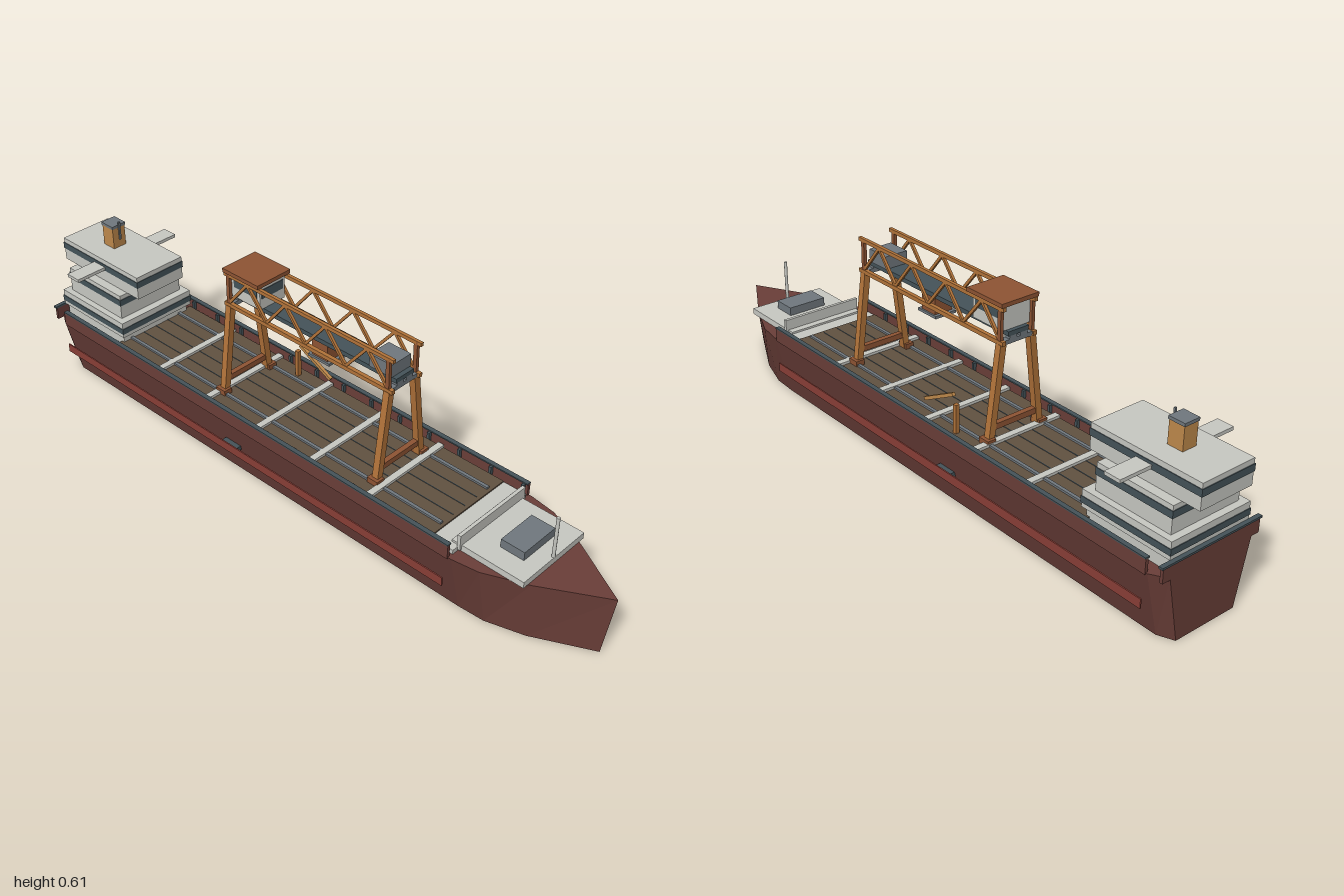
import * as THREE from 'three';

const mat = (name, color) => {
  const m = new THREE.MeshStandardMaterial({ color });
  m.name = name;
  return m;
};

export function createModel() {
  const ship = new THREE.Group();
  ship.name = 'cargoShip';
  const hullRed = mat('hullRed', 0x6b3f39);
  const stripeRed = mat('stripeRed', 0x8a3f37);
  const white = mat('paintWhite', 0xc9cac4);
  const slate = mat('darkSlate', 0x45545a);
  const grey = mat('steelGrey', 0x71797f);
  const orange = mat('craneOrange', 0xb3743a);
  const rust = mat('rustBrown', 0x8f5534);
  const hatch = mat('hatchBrown', 0x625241);
  const tan = mat('funnelTan', 0xc08a4c);

  const add = (parent, name, geo, material) => {
    const m = new THREE.Mesh(geo, material);
    m.name = name;
    parent.add(m);
    return m;
  };
  // box given by its extents on each axis
  const box = (parent, name, material, x0, x1, y0, y1, z0, z1) => {
    const m = add(parent, name, new THREE.BoxGeometry(x1 - x0, y1 - y0, z1 - z0), material);
    m.position.set((x0 + x1) / 2, (y0 + y1) / 2, (z0 + z1) / 2);
    return m;
  };
  // square beam between two points
  const beam = (parent, name, material, a, b, w, d = w) => {
    const p = new THREE.Vector3(...a), q = new THREE.Vector3(...b);
    const dir = q.clone().sub(p);
    const m = add(parent, name, new THREE.BoxGeometry(w, dir.length(), d), material);
    m.position.copy(p).add(q).multiplyScalar(0.5);
    m.quaternion.setFromUnitVectors(new THREE.Vector3(0, 1, 0), dir.normalize());
    return m;
  };
  const group = (name) => {
    const g = new THREE.Group();
    g.name = name;
    ship.add(g);
    return g;
  };

  // Hull: cross-sections as [top x, bottom x, top half width, bottom half width]
  const stations = [
    [-0.975, -0.975, 0.14, 0.1], [-0.93, -0.93, 0.167, 0.12], [0.62, 0.62, 0.167, 0.12],
    [0.7, 0.7, 0.155, 0.116], [0.82, 0.81, 0.103, 0.083], [1, 0.975, 0, 0],
  ];
  const deckY = 0.195;
  const rings = stations.map(([xt, xb, t, b]) => [[xt, deckY, t], [xb, 0, b], [xb, 0, -b], [xt, deckY, -t]]);
  const pos = [];
  const quad = (a, b, c, d) => pos.push(...a, ...b, ...c, ...a, ...c, ...d);
  for (let i = 0; i < rings.length - 1; i++) {
    for (let j = 0; j < 4; j++) {
      const k = (j + 1) % 4;
      quad(rings[i][k], rings[i + 1][k], rings[i + 1][j], rings[i][j]);
    }
  }
  const [sa, sb, sc, sd] = rings[0];
  quad(sa, sd, sc, sb);
  const hullGeo = new THREE.BufferGeometry();
  hullGeo.setAttribute('position', new THREE.Float32BufferAttribute(pos, 3));
  hullGeo.computeVertexNormals();
  add(ship, 'hull', hullGeo, hullRed);

  // Bulwarks, inner stays and rubbing strakes on both sides
  const sides = group('sideFittings');
  for (const s of [1, -1]) {
    const sideBox = (name, m, x0, x1, y0, y1, z0, z1) =>
      box(sides, name, m, x0, x1, y0, y1, Math.min(s * z0, s * z1), Math.max(s * z0, s * z1));
    sideBox('bulwark', hullRed, -0.925, 0.61, 0.19, 0.232, 0.16, 0.169);
    sideBox('bulwarkCap', slate, -0.925, 0.61, 0.232, 0.236, 0.156, 0.17);
    for (let i = 0; i <= 14; i++) {
      const x = -0.9 + i * 0.107;
      sideBox('bulwarkStay', slate, x - 0.004, x + 0.004, 0.19, 0.23, 0.15, 0.16);
    }
    sideBox('rubbingStrake', stripeRed, -0.92, 0.6, 0.093, 0.12, 0.167, 0.171);
    sideBox('strakeBracket', slate, -0.22, -0.16, 0.1, 0.114, 0.14, 0.168);
  }
  box(sides, 'sternBulwark', hullRed, -0.975, -0.966, 0.19, 0.23, -0.165, 0.165);
  box(sides, 'sternRail', slate, -0.977, -0.964, 0.23, 0.236, -0.17, 0.17);

  // Cargo hatches with cross coamings and seams
  const cargo = group('cargoDeck');
  box(cargo, 'hatchCovers', hatch, -0.7, 0.54, 0.19, 0.212, -0.148, 0.148);
  for (const x of [-0.5, -0.295, -0.09, 0.117, 0.325])
    box(cargo, 'hatchCoaming', white, x - 0.01, x + 0.01, 0.19, 0.22, -0.15, 0.15);
  for (const z of [-0.095, 0.095])
    box(cargo, 'craneRail', grey, -0.7, 0.53, 0.21, 0.218, z - 0.005, z + 0.005);
  for (const z of [-0.048, 0, 0.048])
    box(cargo, 'hatchSeam', slate, -0.7, 0.53, 0.21, 0.2135, z - 0.001, z + 0.001);

  // Forecastle
  const bow = group('forecastle');
  box(bow, 'bowPlatform', white, 0.525, 0.612, 0.19, 0.208, -0.15, 0.15);
  box(bow, 'forecastleDeck', white, 0.588, 0.812, 0.195, 0.214, -0.125, 0.125);
  box(bow, 'breakwater', white, 0.61, 0.62, 0.2, 0.247, -0.132, 0.132);
  box(bow, 'windlass', grey, 0.692, 0.765, 0.214, 0.24, -0.063, 0.063);
  const mast = add(bow, 'foremast', new THREE.CylinderGeometry(0.005, 0.005, 0.13, 8), white);
  mast.position.set(0.808, 0.275, 0);

  // Stepped deckhouse, each tier with a window band
  const house = group('deckhouse');
  box(house, 'houseBase', white, -0.96, -0.69, 0.19, 0.235, -0.125, 0.125);
  const tiers = [
    [-0.965, -0.68, 0.235, 0.285, 0.134, 0.248, 0.266],
    [-0.945, -0.705, 0.285, 0.363, 0.115, 0.329, 0.349],
    [-1, -0.65, 0.363, 0.436, 0.087, 0.401, 0.421],
  ];
  tiers.forEach(([x0, x1, y0, y1, z, w0, w1], i) => {
    const e = i === 2 ? 0 : 0.002;
    const inset = i === 2 ? 0.002 : 0;
    box(house, 'houseTier', white, x0 + inset, x1 - inset, y0, y1, -z, z);
    box(house, 'windowBand', slate, x0 - e, x1 + e, w0, w1, -z - 0.002, z + 0.002);
  });
  box(house, 'bridgeWings', white, -0.85, -0.8, 0.403, 0.413, -0.19, 0.19);
  box(house, 'funnel', tan, -0.88, -0.833, 0.436, 0.502, -0.023, 0.023);
  box(house, 'funnelCap', grey, -0.882, -0.831, 0.502, 0.511, -0.025, 0.025);
  box(house, 'aerial', grey, -0.831, -0.826, 0.463, 0.522, -0.003, 0.003);

  // Gantry crane: legs and trussed side frames
  const crane = group('gantryCrane');
  const legX = [-0.285, 0.3];
  for (const x of legX) {
    for (const s of [1, -1]) {
      beam(crane, 'craneLeg', orange, [x, 0.215, s * 0.085], [x, 0.488, s * 0.05], 0.02);
      box(crane, 'craneFoot', rust, x - 0.018, x + 0.018, 0.212, 0.228, s * 0.09 - 0.014, s * 0.09 + 0.014);
      box(crane, 'endPost', rust, x - 0.006, x + 0.006, 0.49, 0.592, s * 0.053 - 0.005, s * 0.053 + 0.005);
    }
    box(crane, 'legTie', rust, x - 0.008, x + 0.008, 0.248, 0.265, -0.08, 0.08);
    box(crane, 'topTie', grey, x - 0.01, x + 0.01, 0.486, 0.498, -0.05, 0.05);
  }
  for (const s of [1, -1]) {
    const z = s * 0.053;
    box(crane, 'lowerChord', orange, -0.3, 0.318, 0.487, 0.499, z - 0.006, z + 0.006);
    box(crane, 'upperChord', orange, -0.3, 0.318, 0.582, 0.593, z - 0.005, z + 0.005);
    const step = (legX[1] - legX[0]) / 8;
    for (let i = 0; i < 8; i++) {
      const y = [0.497, 0.585];
      beam(crane, 'trussDiagonal', orange, [legX[0] + i * step, y[i % 2], z],
        [legX[0] + (i + 1) * step, y[(i + 1) % 2], z], 0.008);
    }
  }
  box(crane, 'mainGirder', slate, -0.295, 0.31, 0.507, 0.52, -0.034, 0.034);
  for (const x of legX)
    for (const z of [-0.018, 0.018])
      box(crane, 'girderSeat', grey, x - 0.01, x + 0.01, 0.497, 0.508, z - 0.012, z + 0.012);

  // Crane cabin, winch and trolley
  box(crane, 'craneCabin', white, -0.283, -0.17, 0.52, 0.595, -0.047, 0.047);
  for (const s of [1, -1])
    box(crane, 'cabinSideWindow', slate, -0.27, -0.18, 0.553, 0.58, s * 0.047 - 0.002, s * 0.047 + 0.002);
  box(crane, 'cabinEndWindow', slate, -0.172, -0.168, 0.553, 0.581, -0.04, 0.04);
  box(crane, 'cabinRoof', rust, -0.3, -0.162, 0.594, 0.606, -0.062, 0.062);
  box(crane, 'winchHouse', grey, 0.22, 0.296, 0.52, 0.558, -0.037, 0.037);
  box(crane, 'trolley', rust, 0.01, 0.067, 0.455, 0.508, -0.03, 0.03);
  box(crane, 'trolleyBase', grey, 0, 0.077, 0.447, 0.455, -0.035, 0.035);

  // Deck derrick
  const derrick = group('deckDerrick');
  box(derrick, 'derrickPost', orange, -0.197, -0.185, 0.21, 0.297, -0.125, -0.112);
  beam(derrick, 'derrickBoom', tan, [-0.18, 0.322, -0.118], [-0.06, 0.26, -0.118], 0.01);

  return ship;
}
